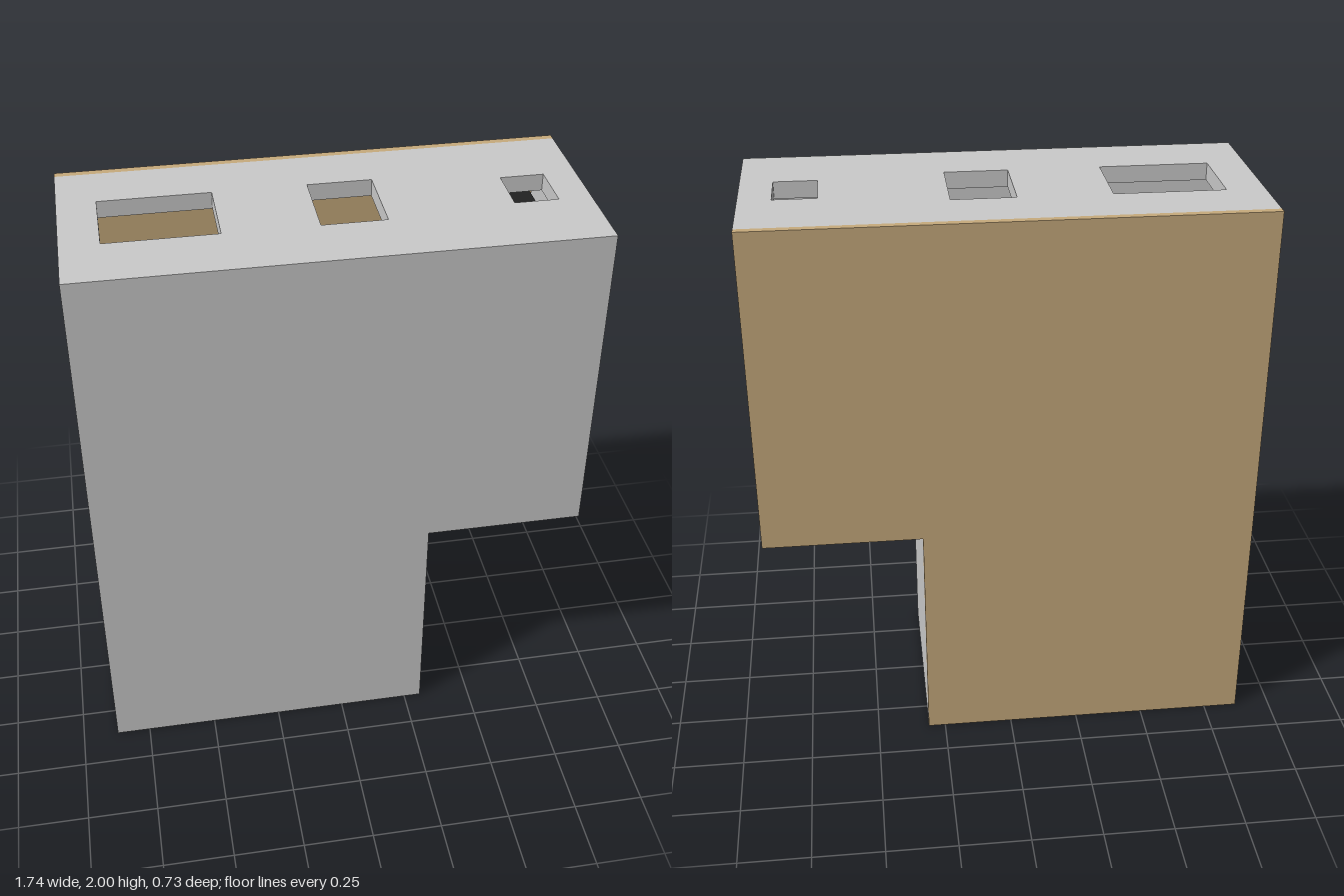
import * as THREE from 'three';

const L = -0.872, R = 0.872, STEP_X = 0.312, STEP_Y = 0.84, TOP = 2;
const BACK = -0.34, FRONT = 0.366, T = 0.06; // T: wall thickness
const INNER = FRONT - T;

const grey = new THREE.MeshStandardMaterial({ color: 0xcccccc });
const tan = new THREE.MeshStandardMaterial({ color: 0xc8ab7d });
const black = new THREE.MeshStandardMaterial({ color: 0x222222 });

export function createModel() {
  const group = new THREE.Group();

  const add = (name, geometry, material = grey) => {
    const mesh = new THREE.Mesh(geometry, material);
    mesh.name = name;
    group.add(mesh);
    return mesh;
  };

  const polygon = (pts, Type = THREE.Shape) => new Type(pts.map(([x, y]) => new THREE.Vector2(x, y)));

  const box = (name, x0, x1, y0, y1, z0, z1, material) =>
    add(name, new THREE.BoxGeometry(x1 - x0, y1 - y0, z1 - z0), material)
      .position.set((x0 + x1) / 2, (y0 + y1) / 2, (z0 + z1) / 2);

  // Upright panel with the stepped outline
  const panel = (name, z, depth, material) => {
    const shape = polygon([[L, 0], [STEP_X, 0], [STEP_X, STEP_Y], [R, STEP_Y], [R, TOP], [L, TOP]]);
    add(name, new THREE.ExtrudeGeometry(shape, { depth, bevelEnabled: false }), material).position.z = z;
  };

  // Horizontal slab from an outline in x, z
  const slab = (name, y, outline, holes = []) => {
    const flip = (pts) => pts.map(([x, z]) => [x, -z]);
    const shape = polygon(flip(outline));
    shape.holes = holes.map((h) => polygon(flip(h), THREE.Path));
    const geometry = new THREE.ExtrudeGeometry(shape, { depth: T, bevelEnabled: false });
    add(name, geometry.rotateX(-Math.PI / 2)).position.y = y;
  };
  const rect = (x0, x1, z0, z1) => [[x0, z0], [x0, z1], [x1, z1], [x1, z0]];

  // Front and back panels
  panel('frontPanel', INNER, T, grey);
  panel('backPanel', -0.366, 0.026, tan);

  // Top with three openings
  slab('topPanel', TOP - T, rect(L, R, BACK, INNER), [
    rect(-0.74, -0.36, -0.14, 0.14),
    rect(-0.04, 0.18, -0.14, 0.14),
    rect(0.61, 0.76, -0.08, 0.10),
  ]);

  // Base with an angled slot that runs to the back panel
  slab('basePanel', 0, [
    [L, BACK], [L, INNER], [STEP_X, INNER], [STEP_X, BACK],
    [-0.045, BACK], [-0.045, 0.14], [-0.515, 0.14], [-0.515, -0.14], [-0.2, -0.14], [-0.2, BACK],
  ]);

  // Underside of the overhang with a straight slot
  slab('overhangPanel', STEP_Y, [
    [STEP_X - T, BACK], [STEP_X - T, INNER], [R, INNER], [R, BACK],
    [0.56, BACK], [0.56, 0.14], [0.35, 0.14], [0.35, BACK],
  ]);

  // Side walls between the slabs
  box('rightWall', L, L + T, T, TOP - T, BACK, INNER);
  box('stepWall', STEP_X - T, STEP_X, T, STEP_Y, BACK, INNER);
  box('leftWall', R - T, R, STEP_Y + T, TOP - T, BACK, INNER);

  // Dark block inside the overhang, fixed to the back panel
  box('innerBlock', 0.3, 0.78, STEP_Y + T, 1.84, BACK, -0.09, black);

  return group;
}
